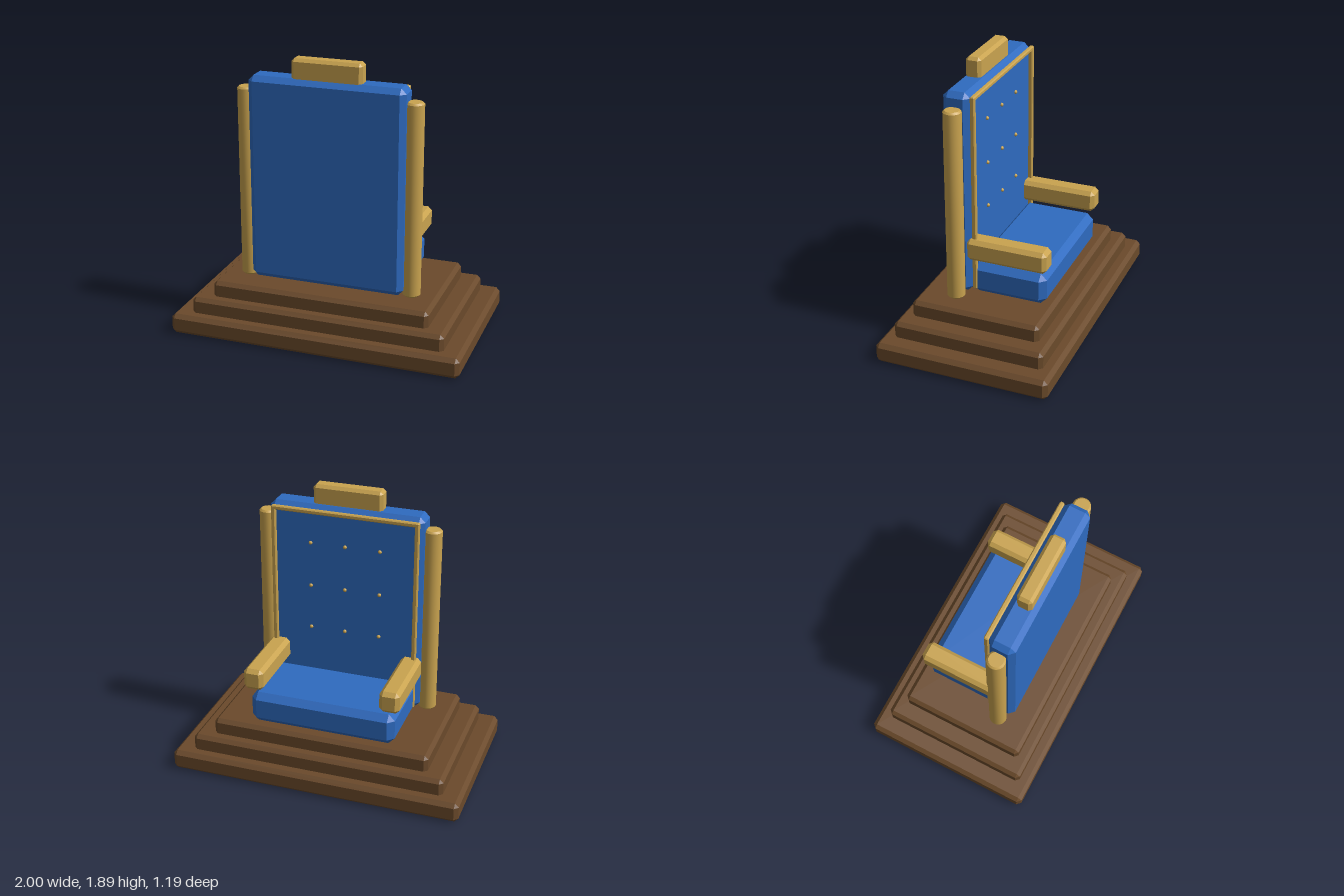
import * as THREE from 'three';
import { toCreasedNormals } from 'three/addons/utils/BufferGeometryUtils.js';
import { ConvexGeometry } from 'three/addons/geometries/ConvexGeometry.js';

// Box with flat chamfers on every edge, given as [min, max] per axis
function chamferBox([x0, x1], [y0, y1], [z0, z1], bevel) {
  const half = [(x1 - x0) / 2, (y1 - y0) / 2, (z1 - z0) / 2];
  const points = [];
  for (const sx of [-1, 1]) for (const sy of [-1, 1]) for (const sz of [-1, 1]) {
    for (let full = 0; full < 3; full++) {
      const [x, y, z] = half.map((h, axis) => (axis === full ? h : h - bevel));
      points.push(new THREE.Vector3(sx * x, sy * y, sz * z));
    }
  }
  const geometry = new ConvexGeometry(points);
  geometry.translate((x0 + x1) / 2, (y0 + y1) / 2, (z0 + z1) / 2);
  return geometry;
}

export function createModel() {
  const model = new THREE.Group();
  model.name = 'throne';

  const material = (name, color) => {
    const m = new THREE.MeshStandardMaterial({ color });
    m.name = name;
    return m;
  };
  const wood = material('brown wood', 0x6b4a2b);
  const cloth = material('blue cloth', 0x2e6bc0);
  const gold = material('gold', 0xc9a34f);

  const add = (name, geometry, mat) => {
    const mesh = new THREE.Mesh(geometry, mat);
    mesh.name = name;
    model.add(mesh);
    return mesh;
  };

  // Stepped base
  add('lowerStep', chamferBox([-1, 1], [0, 0.14], [-0.595, 0.595], 0.027), wood);
  add('middleStep', chamferBox([-0.875, 0.875], [0.113, 0.248], [-0.517, 0.517], 0.025), wood);
  add('upperStep', chamferBox([-0.75, 0.75], [0.222, 0.355], [-0.442, 0.442], 0.025), wood);

  // Upholstery; the sitter faces -z
  add('seat', chamferBox([-0.5, 0.5], [0.355, 0.573], [-0.39, 0.13], 0.043), cloth);
  add('backrest', chamferBox([-0.53, 0.53], [0.365, 1.763], [0.112, 0.293], 0.036), cloth);
  add('crest', chamferBox([-0.238, 0.238], [1.73, 1.892], [0.155, 0.26], 0.02), gold);

  // Posts with softened ends, and armrests
  const post = toCreasedNormals(new THREE.LatheGeometry([
    [0, 0.355], [0.048, 0.355], [0.06, 0.367], [0.06, 1.658], [0.048, 1.67], [0, 1.67],
  ].map(([r, y]) => new THREE.Vector2(r, y)), 20), 0.6);
  for (const [side, s] of [['left', 1], ['right', -1]]) {
    add(side + 'Post', post, gold).position.set(s * 0.571, 0, 0.2);
    const arm = chamferBox([-0.069, 0.069], [0.61, 0.76], [-0.407, 0.147], 0.026);
    add(side + 'Armrest', arm, gold).position.x = s * 0.47;
    // Upright trim strip on the padded face
    const strip = chamferBox([-0.015, 0.015], [0.39, 1.743], [0.08, 0.112], 0.007);
    add(side + 'Trim', strip, gold).position.x = s * 0.492;
  }
  add('topTrim', chamferBox([-0.507, 0.507], [1.713, 1.743], [0.08, 0.112], 0.007), gold);
  add('bottomTrim', chamferBox([-0.507, 0.507], [0.39, 0.42], [0.08, 0.112], 0.007), gold);

  // Tufting buttons
  const button = new THREE.SphereGeometry(0.013, 10, 8);
  for (const x of [-0.24, 0, 0.24]) for (const y of [0.88, 1.19, 1.5]) {
    add('button', button, gold).position.set(x, y, 0.11);
  }

  return model;
}
